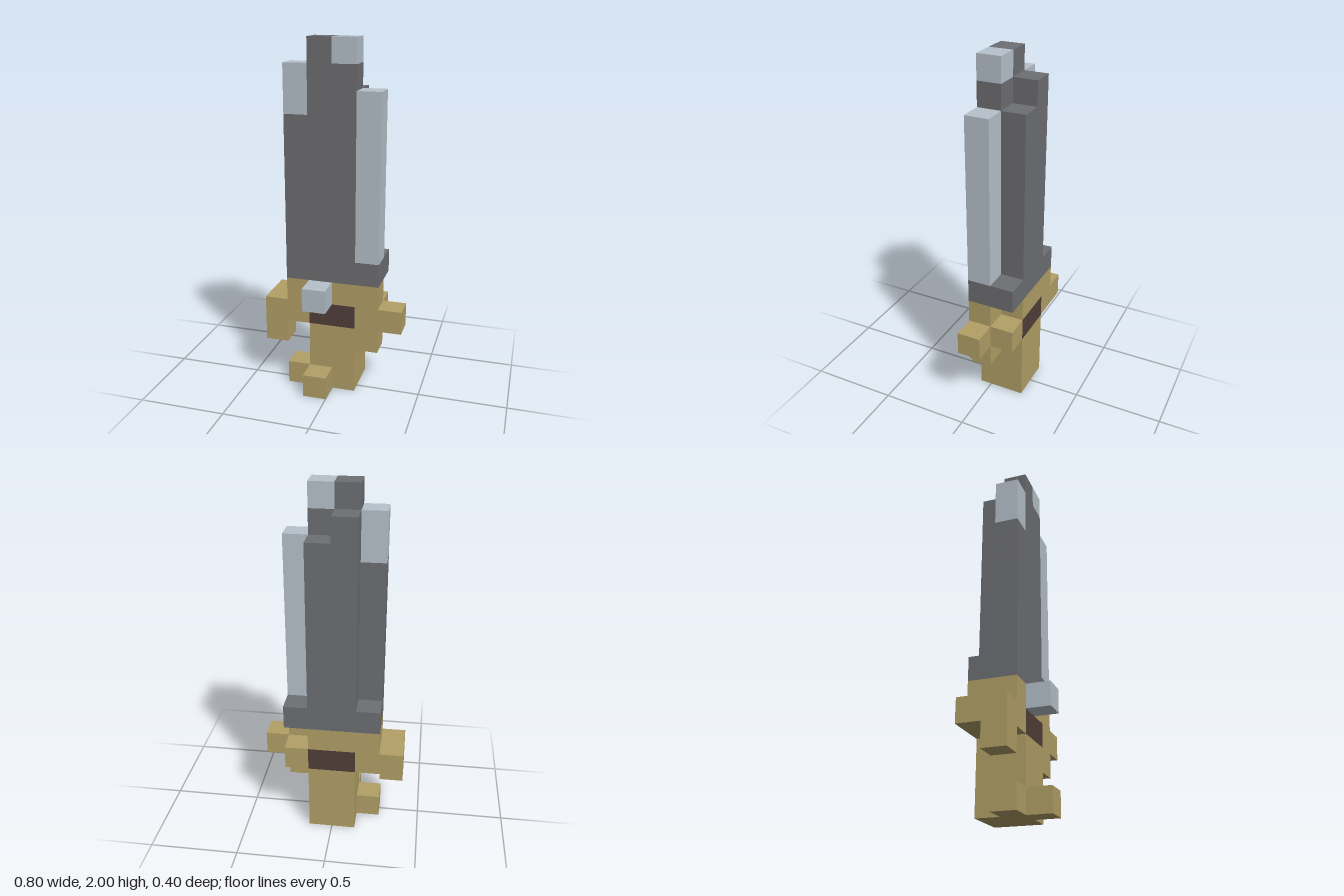
import * as THREE from 'three';
import { mergeGeometries } from 'three/addons/utils/BufferGeometryUtils.js';

const U = 2 / 15; // edge of one block

const mat = (name, color) => new THREE.MeshStandardMaterial({ name, color });
const gold = mat('gold', 0xb3a067);
const steel = mat('darkSteel', 0x6e6f73);
const silver = mat('silver', 0xb7c1cb);
const leather = mat('brownLeather', 0x523f3a);

// Block runs: [x0, x1, y0, y1, z0, z1], inclusive (columns 0-5, rows 0-14, layers 0 back - 2 front)
const parts = [
  ['handle', gold, [[2, 3, 0, 2, 0, 1]]],
  ['pommelSpurs', gold, [[1, 1, 0, 0, 1, 1], [2, 2, 0, 0, 2, 2]]],
  ['gripInlay', leather, [[2, 3, 3, 3, 0, 1]]],
  ['rightGuard', gold, [[0, 1, 3, 3, 0, 1], [0, 0, 2, 2, 1, 1]]],
  ['leftGuard', gold, [[4, 4, 3, 3, 0, 1], [5, 5, 3, 3, 1, 1], [4, 4, 2, 2, 1, 1]]],
  ['collar', gold, [[1, 3, 4, 4, 0, 1], [4, 4, 4, 4, 1, 1]]],
  ['collarStud', silver, [[2, 2, 4, 4, 2, 2]]],
  ['bladeBase', steel, [[1, 4, 5, 5, 0, 1]]],
  ['bladeCore', steel, [[1, 1, 6, 11, 1, 1], [2, 2, 6, 14, 1, 1], [3, 3, 6, 13, 1, 1]]],
  ['bladeSpine', steel, [[2, 2, 6, 13, 0, 0], [3, 3, 6, 12, 0, 0]]],
  ['leftEdge', silver, [[4, 4, 6, 12, 1, 1]]],
  ['rightEdge', silver, [[1, 1, 12, 13, 1, 1]]],
  ['bladeTip', silver, [[3, 3, 14, 14, 1, 1]]],
];

function eachCell(runs, fn) {
  for (const [x0, x1, y0, y1, z0, z1] of runs)
    for (let x = x0; x <= x1; x++)
      for (let y = y0; y <= y1; y++)
        for (let z = z0; z <= z1; z++) fn(x, y, z);
}

// Face directions with the turn that points a plane that way
const sides = [
  [1, 0, 0, 0, Math.PI / 2], [-1, 0, 0, 0, -Math.PI / 2],
  [0, 1, 0, -Math.PI / 2, 0], [0, -1, 0, Math.PI / 2, 0],
  [0, 0, 1, 0, 0], [0, 0, -1, 0, Math.PI],
];

export function createModel() {
  const model = new THREE.Group();
  model.name = 'blockSword';

  const filled = new Set();
  for (const [, , runs] of parts) eachCell(runs, (x, y, z) => filled.add(`${x},${y},${z}`));

  // Each part keeps only the faces that are not against another block
  for (const [name, material, runs] of parts) {
    const faces = [];
    eachCell(runs, (x, y, z) => {
      for (const [dx, dy, dz, rx, ry] of sides) {
        if (filled.has(`${x + dx},${y + dy},${z + dz}`)) continue;
        faces.push(new THREE.PlaneGeometry(U, U).rotateX(rx).rotateY(ry).translate(
          (x - 2.5 + dx / 2) * U, (y + 0.5 + dy / 2) * U, (z - 1 + dz / 2) * U));
      }
    });
    const mesh = new THREE.Mesh(mergeGeometries(faces), material);
    mesh.name = name;
    model.add(mesh);
  }
  return model;
}
